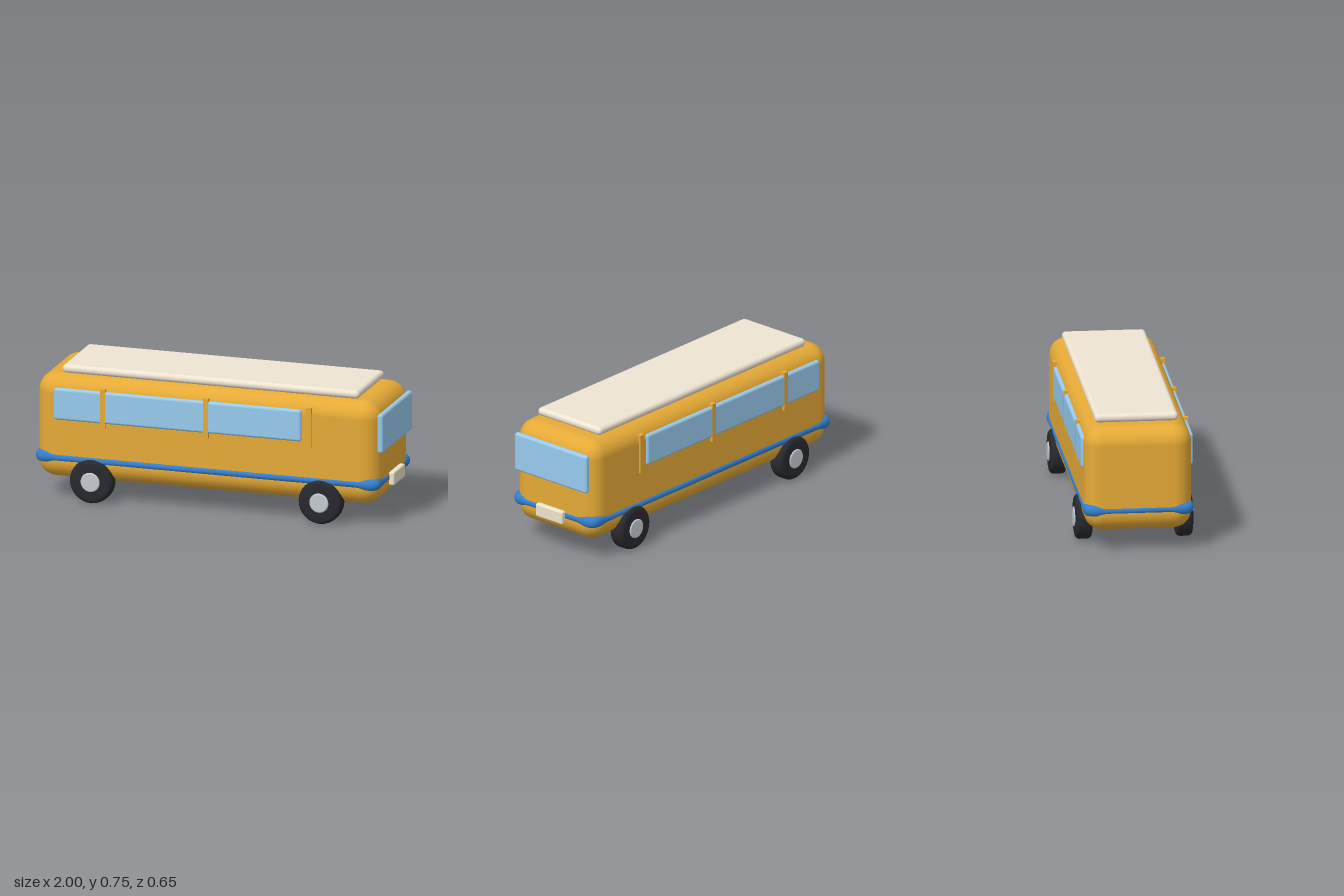
import * as THREE from 'three';
import { RoundedBoxGeometry } from 'three/addons/geometries/RoundedBoxGeometry.js';

const paint = (color) => new THREE.MeshStandardMaterial({ color });
const mats = {
  body: paint(0xe6aa36), glass: paint(0x98cbee), trim: paint(0x3380d0),
  cream: paint(0xefe4d2), plate: paint(0xeee5cc), tyre: paint(0x27292e), hub: paint(0xc4cad0),
};

function add(parent, name, geometry, material, x = 0, y = 0, z = 0) {
  const mesh = new THREE.Mesh(geometry, material);
  mesh.name = name;
  mesh.position.set(x, y, z);
  parent.add(mesh);
  return mesh;
}

// Disc with rounded rims, its axis along z
function roundedDisc(radius, width, bevel, sides) {
  const h = width / 2, pts = [new THREE.Vector2(0, -h)];
  for (const side of [-1, 1]) {
    for (let i = 0; i <= 4; i++) {
      const a = (side < 0 ? i - 4 : i) * Math.PI / 8;
      pts.push(new THREE.Vector2(radius - bevel + bevel * Math.cos(a), side * (h - bevel) + bevel * Math.sin(a)));
    }
  }
  pts.push(new THREE.Vector2(0, h));
  return new THREE.LatheGeometry(pts, sides).rotateX(Math.PI / 2);
}

// Oval section carried round a rectangle, swelling near the corners
function bumperBand(hx, hz, depth) {
  const r = 0.03, sides = 12, path = [];
  const cx = hx - depth - r, cz = hz - depth - r;
  const corners = [[1, 1], [-1, 1], [-1, -1], [1, -1]];
  const steps = [0.02, 0.045, 0.07, 0.1];
  corners.forEach(([sx, sz], k) => {
    const a0 = k * Math.PI / 2;
    const put = (a, back, half) => {
      // "back" slides along the tangent, away from the corner
      path.push({
        x: sx * cx + r * Math.cos(a) - Math.sin(a) * back,
        z: sz * cz + r * Math.sin(a) + Math.cos(a) * back,
        nx: Math.cos(a), nz: Math.sin(a), half,
      });
    };
    const swell = (d) => 0.032 - 0.009 * THREE.MathUtils.smoothstep(d, 0.015, 0.085);
    for (const d of [...steps].reverse()) put(a0, -d, swell(d));
    for (let i = 0; i <= 5; i++) put(a0 + i * Math.PI / 10, 0, 0.032);
    for (const d of steps) put(a0 + Math.PI / 2, d, swell(d));
  });
  const pos = [], index = [], n = path.length;
  path.forEach((p, i) => {
    for (let j = 0; j < sides; j++) {
      const t = j / sides * Math.PI * 2, o = depth * Math.cos(t);
      pos.push(p.x + p.nx * o, p.half * Math.sin(t), p.z + p.nz * o);
      const j2 = (j + 1) % sides, i2 = (i + 1) % n;
      const a = i * sides + j, b = i * sides + j2, c = i2 * sides + j2, d = i2 * sides + j;
      index.push(a, b, d, b, c, d);
    }
  });
  const geometry = new THREE.BufferGeometry();
  geometry.setAttribute('position', new THREE.Float32BufferAttribute(pos, 3));
  geometry.setIndex(index);
  geometry.computeVertexNormals();
  return geometry;
}

export function createModel() {
  const bus = new THREE.Group();
  bus.name = 'bus';

  // Shell and roof panel
  add(bus, 'body', new RoundedBoxGeometry(1.962, 0.585, 0.588, 3, 0.1), mats.body, -0.016, 0.407, 0);
  add(bus, 'roofPanel', new RoundedBoxGeometry(1.7, 0.047, 0.456, 4, 0.0225), mats.cream, -0.013, 0.723, 0);

  // Trim band, windscreen and number plate; the nose is at +x
  add(bus, 'bumperBand', bumperBand(0.987, 0.302, 0.024), mats.trim, -0.015, 0.238, 0);
  add(bus, 'windscreen', new RoundedBoxGeometry(0.034, 0.221, 0.524, 3, 0.015), mats.glass, 0.969, 0.525, 0);
  add(bus, 'numberPlate', new RoundedBoxGeometry(0.034, 0.076, 0.194, 3, 0.01), mats.plate, 0.981, 0.23, 0);

  const tyre = roundedDisc(0.123, 0.091, 0.025, 32);
  const hub = roundedDisc(0.055, 0.104, 0.008, 28);
  const windowGeo = new RoundedBoxGeometry(1.417, 0.179, 0.034, 3, 0.015);
  const postGeo = new THREE.BoxGeometry(0.029, 0.223, 0.028);

  for (const side of [-1, 1]) {
    const label = side > 0 ? 'front' : 'back';
    // Long side window with its posts
    add(bus, label + 'SideWindow', windowGeo, mats.glass, -0.177, 0.544, side * 0.29);
    for (const x of [-0.604, -0.014, 0.575]) {
      add(bus, label + 'SidePost', postGeo, mats.body, x, 0.538, side * 0.294);
    }
    // Wheels
    for (const x of [-0.67, 0.64]) {
      const wheel = new THREE.Group();
      wheel.name = label + 'SideWheel';
      wheel.position.set(x, 0.123, side * 0.275);
      add(wheel, 'tyre', tyre, mats.tyre);
      add(wheel, 'hub', hub, mats.hub);
      bus.add(wheel);
    }
  }
  return bus;
}
